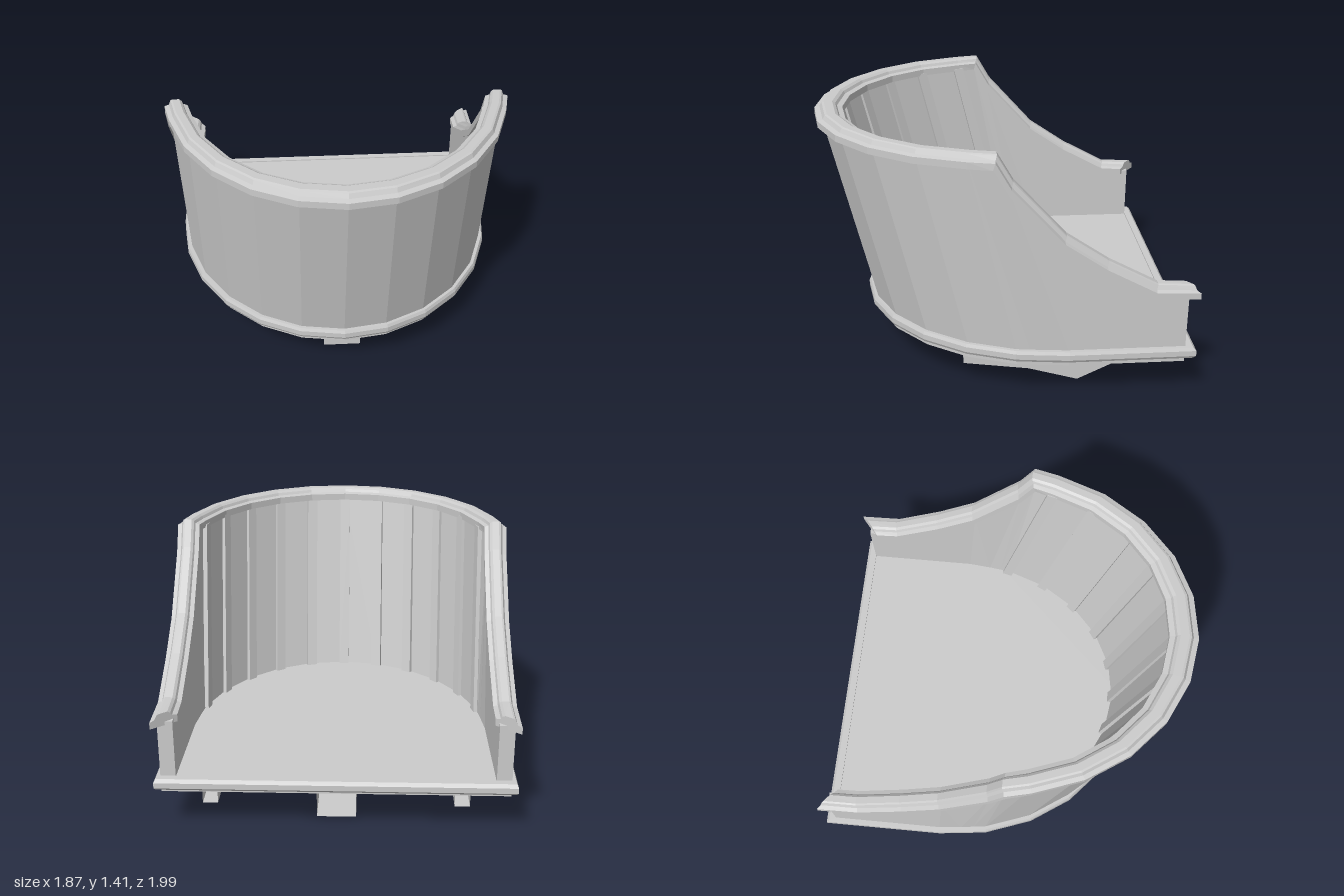
import * as THREE from 'three';

const mat = new THREE.MeshStandardMaterial({ color: 0xcccccc, flatShading: true });
const openMat = new THREE.MeshStandardMaterial({ color: 0xcccccc, flatShading: true, side: THREE.DoubleSide });

const FLOOR = 0.305, TOP = 1.34, LEAN = 0.24;   // wall leans forward by LEAN per unit of height
const A = 0.905, B = 1.045, ZC = -0.33;         // half ellipse of the wall's foot

// Columns of the wall: foot (bx, bz), top (tx, ty, tz), outward normal (nx, nz)
function makeColumns() {
  const sides = [ // top z, top y, foot z, foot x
    [-0.945, 0.60, -0.945, A], [-0.76, 0.61, -0.78, A], [-0.50, 0.75, -0.58, A],
    [-0.28, 0.90, ZC, A], [-0.01, 1.20, -0.2, 0.892], [0.07, TOP, -0.13, 0.883],
  ].map(([tz, ty, bz, bx]) => ({ bx, bz, tx: A, ty, tz, nx: 1, nz: 0, tilt: 0.3 }));
  const arc = [75, 60, 45, 30, 15, 0].map((deg) => {
    const a = THREE.MathUtils.degToRad(deg), nx = Math.sin(a), nz = Math.cos(a);
    const bx = A * nx, bz = ZC + B * nz;
    return { bx, bz, tx: bx, ty: TOP, tz: bz + LEAN * (TOP - FLOOR), nx, nz, tilt: 0 };
  });
  const half = [...sides, ...arc];
  const mirrored = half.slice(0, -1).reverse().map((c) => ({ ...c, bx: -c.bx, tx: -c.tx, nx: -c.nx }));
  return [...half, ...mirrored];
}

// Skin a row of closed cross-sections, either capped at both ends or joined in a ring
function skin(rows, ring = false) {
  const n = rows[0].length, index = [];
  const last = ring ? rows.length : rows.length - 1;
  for (let i = 0; i < last; i++) {
    const r = i * n, s = ((i + 1) % rows.length) * n;
    for (let k = 0; k < n; k++) {
      const m = (k + 1) % n;
      index.push(r + k, r + m, s + m, r + k, s + m, s + k);
    }
  }
  if (!ring) {
    const e = (rows.length - 1) * n;
    for (let k = 1; k < n - 1; k++) index.push(0, k + 1, k, e, e + k, e + k + 1);
  }
  const geo = new THREE.BufferGeometry();
  geo.setAttribute('position', new THREE.Float32BufferAttribute(rows.flat(2), 3));
  geo.setIndex(index);
  const flat = geo.toNonIndexed();
  flat.computeVertexNormals();
  return flat;
}

// Remove the rear face so a beam is open at the back
function openBack(geometry) {
  const geo = geometry.index ? geometry.toNonIndexed() : geometry;
  geo.computeBoundingBox();
  const zMin = geo.boundingBox.min.z, p = geo.attributes.position, keep = [];
  for (let i = 0; i < p.count; i += 3) {
    if ([0, 1, 2].some((j) => p.getZ(i + j) > zMin + 1e-4)) {
      for (let j = 0; j < 3; j++) keep.push(p.getX(i + j), p.getY(i + j), p.getZ(i + j));
    }
  }
  const out = new THREE.BufferGeometry();
  out.setAttribute('position', new THREE.Float32BufferAttribute(keep, 3));
  out.computeVertexNormals();
  return out;
}

export function createModel() {
  const group = new THREE.Group();
  const add = (name, geo, material = mat) => {
    const mesh = new THREE.Mesh(geo, material);
    mesh.name = name;
    group.add(mesh);
    return mesh;
  };
  const columns = makeColumns();

  // Floor slab
  const outline = new THREE.Shape(columns.map((c) => new THREE.Vector2(c.bx, c.bz)));
  const slab = new THREE.ExtrudeGeometry(outline, { depth: FLOOR - 0.22, bevelEnabled: false });
  slab.rotateX(Math.PI / 2).translate(0, FLOOR, 0);
  add('floor', slab);

  // Rounded moulding all round the floor, mitred at the rear corners
  const baseProfile = [[0, 0.25], [0.02, 0.25], [0.028, 0.265], [0.028, 0.295], [0.02, 0.312], [0, 0.312]];
  add('floorMoulding', skin(columns.map((c, i) => {
    const rear = i === 0 || i === columns.length - 1;
    const nz = rear ? -1.95 : c.nz;
    return baseProfile.map(([o, y]) => [c.bx + c.nx * o, y, c.bz + nz * o]);
  }), true));

  // Leaning wall
  const T = 0.08;
  add('wall', skin(columns.map((c) => [
    [c.bx, FLOOR - 0.01, c.bz],
    [c.tx, c.ty + 0.02, c.tz],
    [c.tx - c.nx * T, c.ty + 0.02, c.tz - c.nz * T],
    [c.bx - c.nx * T, FLOOR - 0.01, c.bz - c.nz * T],
  ])));

  // Stepped rail along the wall's top, cut diagonally at its rear ends
  const railProfile = [
    [0.025, 0], [0.025, 0.036], [0.002, 0.043], [-0.008, 0.066], [-0.018, 0.07],
    [-0.055, 0.07], [-0.068, 0.06], [-0.075, 0.045], [-0.098, 0.038], [-0.098, 0],
  ];
  add('topRail', skin(columns.map((c, i) => {
    const rear = i === 0 || i === columns.length - 1;
    return railProfile.map(([o, u]) => {
      const x = c.tx + c.nx * o;
      const z = rear ? -1 + (0.93 - Math.abs(x)) * 0.83
        : c.tz + c.nz * o * (1 + 0.25 * Math.max(0, c.nz)) - c.tilt * u;
      return [x, c.ty + u, z];
    });
  })));

  // Battens on the inside of the wall, one at each bend
  const height = TOP - FLOOR + 0.02;
  for (let deg = -75; deg <= 75; deg += 15) {
    const a = THREE.MathUtils.degToRad(deg);
    const geo = new THREE.BoxGeometry(0.06, height, 0.05).translate(0, height / 2, 0).toNonIndexed();
    geo.rotateY(Math.atan2(Math.sin(a) / A, Math.cos(a) / B));
    const p = geo.attributes.position;
    for (let i = 0; i < p.count; i++) p.setZ(i, p.getZ(i) + LEAN * p.getY(i));
    geo.computeVertexNormals();
    const inset = T;
    add('batten', geo).position.set((A - inset) * Math.sin(a), FLOOR - 0.005, ZC + (B - inset) * Math.cos(a));
  }

  // Hollow centre beam under the floor
  const beam = new THREE.BoxGeometry(0.21, 0.21, 1.35).translate(0, 0.115, -0.145);
  add('centreBeam', openBack(beam), openMat);

  // Pair of axle brackets
  const bracketShape = new THREE.Shape([
    [0.215, 0.22], [0.215, 0.13], [-0.14, 0.08], [-0.41, 0], [-0.68, 0.13], [-0.9, 0.13], [-0.9, 0.22],
  ].map(([z, y]) => new THREE.Vector2(-z, y)));
  for (const side of [1, -1]) {
    const geo = new THREE.ExtrudeGeometry(bracketShape, { depth: 0.08, bevelEnabled: false });
    geo.translate(0, 0, -0.04).rotateY(Math.PI / 2);
    add('axleBracket', openBack(geo), openMat).position.x = side * 0.66;
  }
  return group;
}
